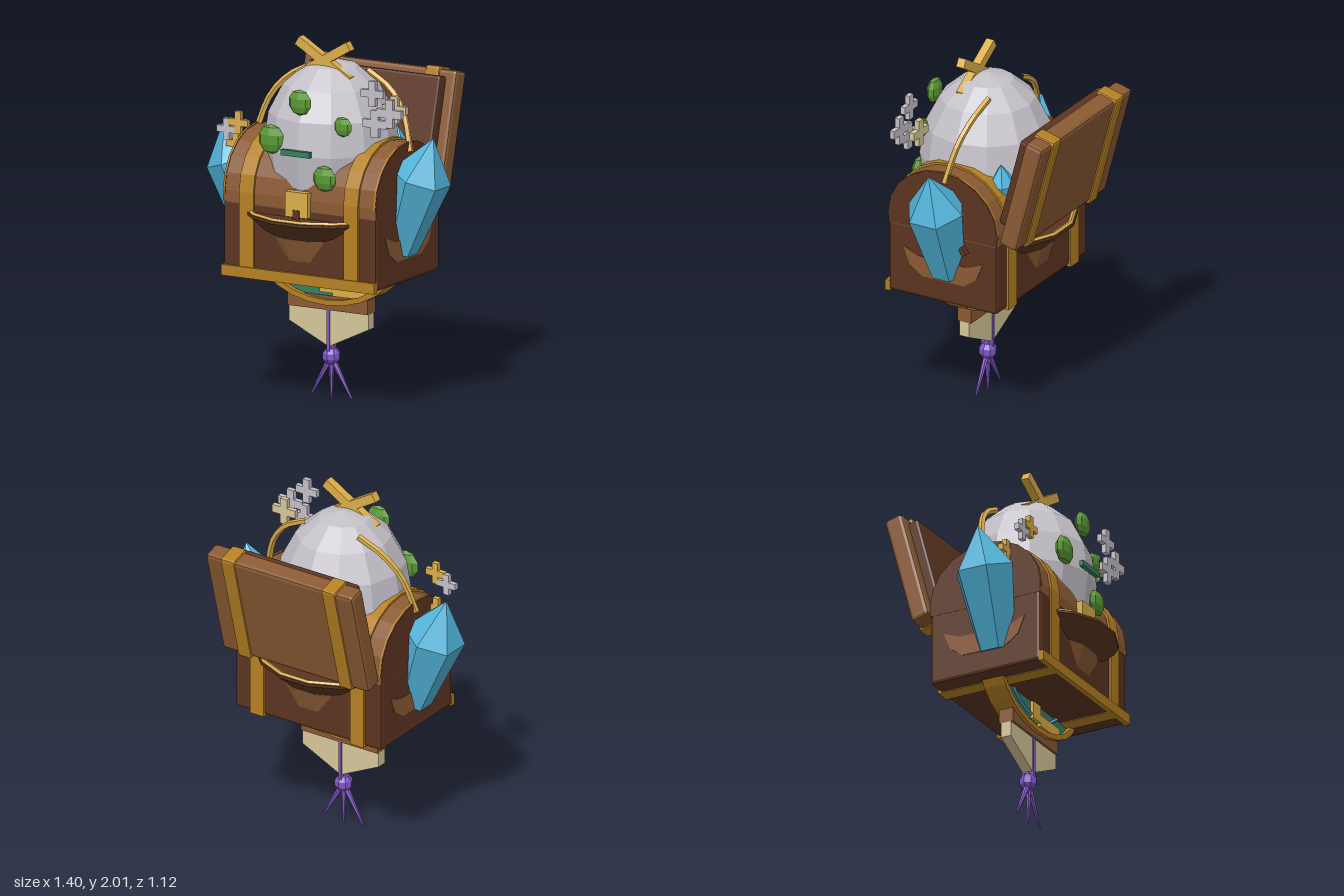
import * as THREE from 'three';
import { RoundedBoxGeometry } from 'three/addons/geometries/RoundedBoxGeometry.js';

const mat = (name, color) => Object.assign(new THREE.MeshStandardMaterial({ color }), { name });
const ZC = 0.075; // depth of the middle of the chest

export function createModel() {
  const wood = mat('wood', 0x8a5a34), dark = mat('darkWood', 0x5c3420);
  const brass = mat('brass', 0xb58023), gold = mat('gold', 0xdcae4a);
  const shell = mat('paleGrey', 0xc4c0c8), blue = mat('crystalBlue', 0x52b4da);
  const green = mat('gemGreen', 0x5a9a35), teal = mat('teal', 0x35805f);
  const purple = mat('purple', 0x8257c8), tan = mat('tan', 0xd6c79a);

  const model = new THREE.Group();
  // Adds a faceted mesh
  function add(name, geo, material, x = 0, y = 0, z = 0, parent = model) {
    const g = geo.index ? geo.toNonIndexed() : geo;
    g.computeVertexNormals();
    const mesh = new THREE.Mesh(g, material);
    mesh.name = name;
    mesh.position.set(x, y, z);
    parent.add(mesh);
    return mesh;
  }
  const box = (w, h, d) => new THREE.BoxGeometry(w, h, d);
  const chamfer = (w, h, d, r) => new RoundedBoxGeometry(w, h, d, 1, r);
  const polygon = pts => new THREE.Shape(pts.map(p => new THREE.Vector2(...p)));
  // Slab of a front-facing outline, centred in depth
  function slab(shape, depth) {
    const g = new THREE.ExtrudeGeometry(shape, { depth, bevelEnabled: false, curveSegments: 12 });
    return g.translate(0, 0, -depth / 2);
  }

  // Chest side outline (z, y): box bottom with an arched top, grown by o
  function chestOutline(bottom, o) {
    const pts = [[ZC - 0.34 - o, bottom], [ZC + 0.34 + o, bottom]];
    for (let i = 0; i <= 10; i++) {
      const a = i / 10 * Math.PI;
      pts.push([ZC + Math.cos(a) * (0.34 + o), 1.17 + Math.sin(a) * (0.305 + o)]);
    }
    return polygon(pts);
  }
  const across = (shape, width) => slab(shape, width).rotateY(-Math.PI / 2);

  // Chest
  add('chestBody', chamfer(0.96, 0.42, 0.68, 0.02), dark, 0, 0.915, ZC);
  add('chestArch', across(chestOutline(1.11, 0), 0.96), [dark, wood]);
  for (const s of [-1, 1]) {
    add('chestStrap', across(chestOutline(0.7, 0.012), 0.09), brass, s * 0.328);
    add('archRim', across(chestOutline(1.15, 0.004), 0.012), [dark, brass], s * 0.472);
  }
  add('frontBottomBar', box(0.96, 0.06, 0.03), brass, 0, 0.73, 0.42);
  add('latch', box(0.14, 0.14, 0.04), gold, 0, 1.145, 0.43);
  add('keyhole', box(0.04, 0.05, 0.006), dark, 0, 1.09, 0.452);
  add('sidePeg', box(0.04, 0.05, 0.03), dark, 0.49, 1.05, -0.065).rotation.x = 0.6;

  // Open lid leaning back
  const lid = new THREE.Group();
  lid.name = 'openLid';
  lid.position.set(0, 1.44, -0.414);
  lid.rotation.x = -0.26;
  model.add(lid);
  add('lidPanel', chamfer(0.96, 0.66, 0.11, 0.02), wood, 0, 0, 0, lid);
  add('lidLining', chamfer(0.836, 0.54, 0.09, 0.015), dark, 0, 0.02, 0.07, lid);
  for (const s of [-1, 1]) add('lidStrap', chamfer(0.09, 0.685, 0.132, 0.015), brass, s * 0.33, 0, 0, lid);

  // Bowl whose edge breaks out of the front and back
  const lathe = pts => new THREE.LatheGeometry(pts.map(p => new THREE.Vector2(...p)), 16, Math.PI / 16).scale(0.95, 1, 1);
  add('bowlLip', lathe([[0, 0.94], [0.37, 0.94], [0.495, 1.05], [0.495, 1.065], [0, 1.065]]), dark, 0, 0, ZC);
  add('bowlBase', lathe([[0, 0.82], [0.345, 0.82], [0.385, 0.95], [0, 0.95]]), wood, 0, 0, ZC);
  const rim = new THREE.TorusGeometry(0.475, 0.013, 5, 16).rotateX(Math.PI / 2).rotateY(Math.PI / 16).scale(0.95, 1, 1);
  add('bowlTrim', rim, gold, 0, 1.067, ZC);
  const sidePatch = polygon([[0.32, 0.99], [0.28, 0.89], [0.2, 0.835], [-0.06, 0.835], [-0.14, 0.89], [-0.18, 0.99], [-0.08, 0.95], [0.22, 0.95]]);
  for (const s of [-1, 1]) add('bowlSide', across(sidePatch, 0.006), wood, s * 0.481);

  // Egg
  add('egg', new THREE.SphereGeometry(1, 12, 8).scale(0.37, 0.48, 0.37), shell, 0, 1.41, ZC);
  for (const s of [-1, 1]) add('crossedBar', box(0.375, 0.052, 0.048), gold, 0, 1.89, 0.148).rotation.z = s * 0.54;
  for (const [x, y, z, r] of [[0, 1.705, 0.41, 0.072], [0.235, 1.585, 0.35, 0.056], [-0.185, 1.48, 0.4, 0.082], [0.155, 1.3, 0.41, 0.072]])
    add('greenGem', new THREE.SphereGeometry(1, 8, 5).scale(r, r, r * 0.42), green, x, y, z);
  add('frontStrip', box(0.18, 0.032, 0.024), teal, 0, 1.43, 0.452);

  // Curved carrying ribs beside the egg
  for (const s of [-1, 1]) {
    const path = new THREE.CatmullRomCurve3([[0.17, 1.82, -0.03], [0.32, 1.74, -0.01], [0.42, 1.62, 0.02], [0.485, 1.42, 0.06]]
      .map(([x, y, z]) => new THREE.Vector3(s * x, y, z)));
    add('sideRib', new THREE.TubeGeometry(path, 8, 0.018, 5), gold);
  }

  // Six-sided crystals: tapered body with a pointed tip, origin at the base
  function crystal(x, y, z, size, tiltX, tiltZ) {
    const g = new THREE.LatheGeometry([[0, 0], [0.105, 0], [0.167, 0.435], [0, 0.67]].map(p => new THREE.Vector2(...p)), 6);
    const m = add('crystal', g, blue, x, y, z);
    m.scale.setScalar(size);
    m.rotation.set(tiltX, 0, tiltZ);
  }
  crystal(0.42, 0.88, 0.07, 1, 0, -0.33);
  crystal(-0.42, 0.85, 0.12, 1.03, 0, 0.33);
  crystal(0.24, 1.18, -0.17, 0.48, 0, -0.1);

  // Floating plus signs
  function plus(x, y, z, half, material) {
    const w = half * 0.3;
    const q = [[w, w], [w, half], [-w, half], [-w, w], [-half, w], [-half, -w], [-w, -w], [-w, -half], [w, -half], [w, -w], [half, -w], [half, w]];
    add('plusSign', slab(polygon(q), 0.028), material, x, y, z);
  }
  plus(0.41, 1.785, 0.325, 0.07, shell);
  plus(0.515, 1.685, 0.325, 0.078, shell);
  plus(0.425, 1.62, 0.325, 0.075, shell);
  plus(0.485, 1.685, 0.22, 0.075, tan);
  plus(-0.435, 1.53, 0.325, 0.062, gold);
  plus(-0.51, 1.485, 0.32, 0.06, shell);
  plus(-0.51, 1.385, 0.22, 0.06, gold);

  // Round plate under the chest
  const ellipse = (rx, ry) => new THREE.Shape().absellipse(0, 0, rx, ry, 0, Math.PI * 2);
  const edge = ellipse(0.43, 0.27);
  edge.holes.push(ellipse(0.395, 0.24));
  add('plateRim', slab(edge, 0.13), brass, 0, 0.8, ZC);
  add('plate', slab(ellipse(0.4, 0.245), 0.07), teal, 0, 0.8, ZC);
  for (const s of [-1, 1]) {
    add('plateRing', new THREE.TorusGeometry(0.25, 0.012, 5, 20).scale(1.1, 0.72, 1), blue, 0, 0.8, ZC + s * 0.04);
    add('plateStud', box(0.085, 0.1, 0.02), gold, 0, 0.65, ZC + s * 0.045);
  }
  add('plateBar', box(0.21, 0.065, 0.05), gold, 0.145, 0.615, ZC + 0.03);

  // Hanging band and tag
  add('band', box(0.5, 0.08, 0.085), wood, 0, 0.54, ZC);
  add('tag', slab(polygon([[-0.25, 0.5], [-0.25, 0.415], [0, 0.295], [0.25, 0.415], [0.25, 0.5]]), 0.06), tan, 0, 0, ZC);

  // Tassel
  add('tasselCord', box(0.018, 0.26, 0.075), purple, 0, 0.37, ZC);
  add('tasselKnot', new THREE.SphereGeometry(0.052, 8, 5), purple, 0, 0.24, ZC);
  add('tasselNeck', new THREE.CylinderGeometry(0.012, 0.03, 0.05, 6), purple, 0, 0.285, ZC);
  for (const s of [-1, 0, 1]) {
    const strand = new THREE.CylinderGeometry(0.017, 0.006, 0.22, 6);
    add('tasselStrand', strand, purple, s * 0.072, 0.11, ZC).rotation.z = s * 0.52;
  }
  return model;
}
